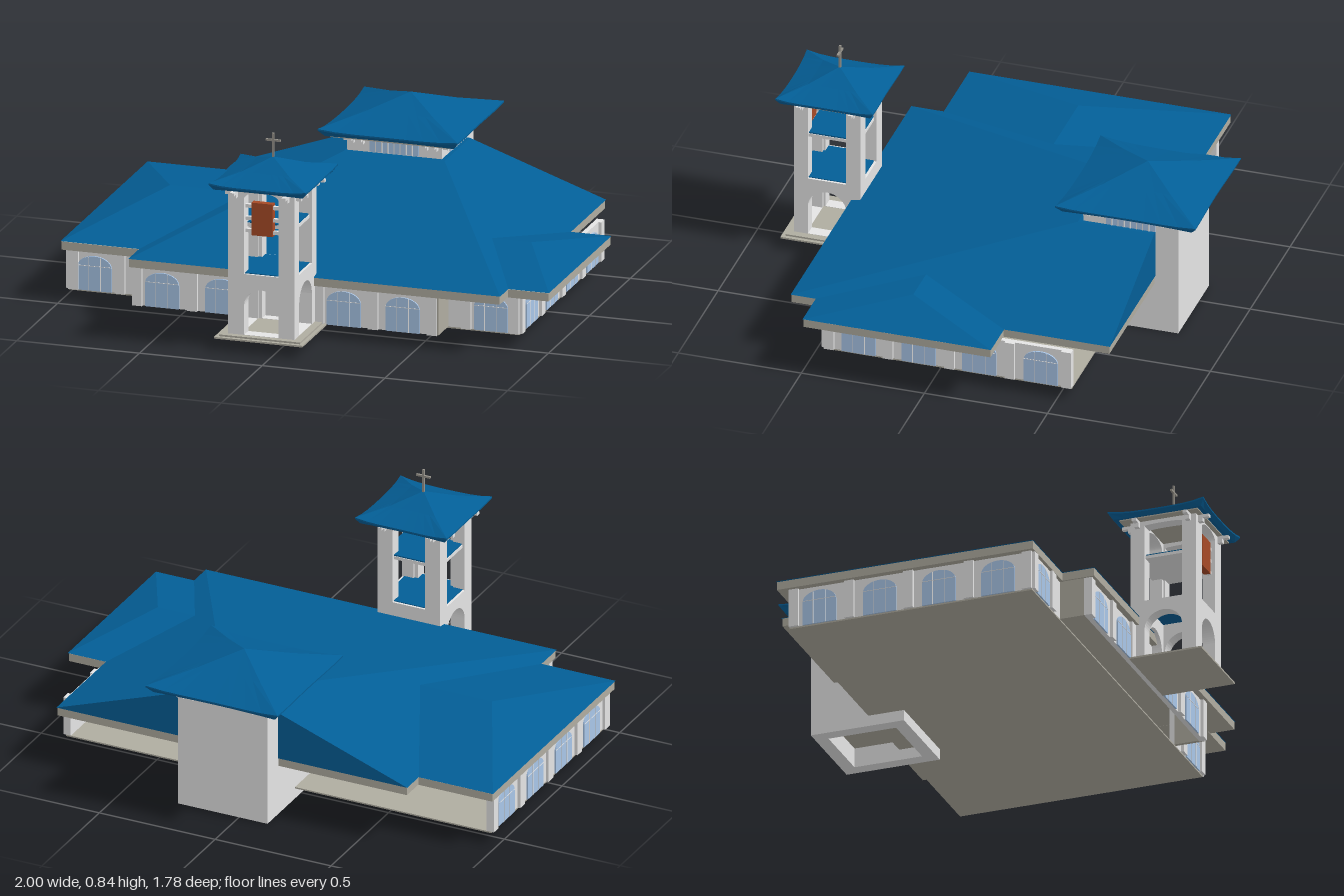
import * as THREE from 'three';

const mat = (name, color, side = THREE.FrontSide) => {
  const m = new THREE.MeshStandardMaterial({ color, side });
  m.name = name;
  return m;
};

export function createModel() {
  const model = new THREE.Group();
  const blue = mat('roof blue', 0x035e96, THREE.DoubleSide);
  const wall = mat('wall grey', 0xe4e4e4);
  const beige = mat('beige trim', 0xafaca0);
  const glass = mat('window blue', 0xa9c6e8);
  const rust = mat('bell rust', 0xa64a26);
  const metal = mat('cross grey', 0x96928a);

  const add = (name, geo, m, parent = model) => {
    const mesh = new THREE.Mesh(geo, m);
    mesh.name = name;
    parent.add(mesh);
    return mesh;
  };
  // Box given by its limits on each axis
  const box = (name, m, x0, x1, y0, y1, z0, z1, parent = model) => {
    const b = add(name, new THREE.BoxGeometry(x1 - x0, y1 - y0, z1 - z0), m, parent);
    b.position.set((x0 + x1) / 2, (y0 + y1) / 2, (z0 + z1) / 2);
    return b;
  };
  // Flat polygons, each split into a fan
  const polys = (name, m, faces) => {
    const p = [];
    for (const f of faces)
      for (let i = 1; i < f.length - 1; i++) p.push(...f[0], ...f[i], ...f[i + 1]);
    const g = new THREE.BufferGeometry();
    g.setAttribute('position', new THREE.Float32BufferAttribute(p, 3));
    g.computeVertexNormals();
    return add(name, g, m);
  };
  // Outline with straight sides and an arched top
  const arch = (C, w, y0, spring, top) => {
    const s = new C();
    s.moveTo(-w / 2, y0);
    s.lineTo(w / 2, y0);
    s.lineTo(w / 2, spring);
    s.absellipse(0, spring, w / 2, top - spring, 0, Math.PI, false);
    s.lineTo(-w / 2, y0);
    return s;
  };

  // Floor and thin outer walls, open along the back
  const Y0 = 0.05, Y1 = 0.21, T = 0.02, L = -0.97, W = 0.865, B = -0.555, F = 0.45, H = 0.57;
  box('floorSlab', beige, L, W, 0.044, Y0, B, F);
  box('leftWall', wall, L, L + T, Y0, Y1, B, F);
  box('rightWall', wall, W - T, W, Y0, Y1, B, F);
  box('leftFrontWall', wall, L + T, -0.66, Y0, Y1, F - T, F);
  box('rightFrontWall', wall, 0.56, W - T, Y0, Y1, F - T, F);
  box('hallFrontWall', wall, -0.67, 0.57, Y0, Y1, H - T, H);
  box('hallLeftWall', beige, -0.67, -0.66, Y0, Y1, F, H - T);
  box('hallRightWall', beige, 0.56, 0.57, Y0, Y1, F, H - T);
  box('recessPanel', beige, 0.57, 0.575, Y0, Y1, F, H);

  // Arched windows and pilasters along a wall
  const windowGeo = new THREE.ExtrudeGeometry(arch(THREE.Shape, 0.138, Y0, 0.145, 0.19),
    { depth: 0.006, bevelEnabled: false, curveSegments: 10 });
  const facade = (name, x, z, turn, windows, pilasters) => {
    const g = new THREE.Group();
    g.name = name;
    g.position.set(x, 0, z);
    g.rotation.y = turn;
    model.add(g);
    for (const u of windows) {
      add('window', windowGeo, glass, g).position.x = u;
      for (const d of [-0.025, 0.025])
        box('mullion', wall, u + d - 0.001, u + d + 0.001, Y0, 0.185, 0, 0.0075, g);
      box('transom', wall, u - 0.068, u + 0.068, 0.149, 0.151, 0, 0.0075, g);
    }
    for (const u of pilasters) box('pilaster', wall, u - 0.02, u + 0.02, Y0, Y1, 0, 0.012, g);
  };
  facade('frontFacade', 0, H, 0, [-0.55, -0.305, 0.19, 0.43], [-0.65, -0.425, -0.215, 0.09, 0.31, 0.55]);
  facade('leftmostFrontFacade', 0, F, 0, [-0.865], [-0.95, -0.76]);
  facade('rightmostFrontFacade', 0, F, 0, [0.75], [0.65, 0.845]);
  facade('rightFacade', W, 0, Math.PI / 2, [-0.31, -0.065, 0.18, 0.43], [-0.43, -0.19, 0.06, 0.305, 0.535]);
  facade('leftFacade', L, 0, -Math.PI / 2, [-0.43, -0.18, 0.065, 0.31], [-0.535, -0.305, -0.06, 0.19, 0.43]);

  // Eave boards under the three roofs
  const E = 0.242;
  box('mainEaves', beige, -0.677, 0.832, 0.208, E - 0.001, -0.697, 0.594);
  box('leftEaves', beige, -0.997, -0.6, 0.207, E - 0.002, -0.597, 0.463);
  box('rightEaves', beige, 0.7, 0.997, 0.207, E - 0.002, -0.267, 0.493);

  // Main hipped roof with a straight back gable
  const R = 0.437;
  const a = [-0.68, E, 0.597], b = [0.835, E, 0.597], c = [0.835, E, -0.7], d = [-0.68, E, -0.7];
  const e = [-0.13, R, -0.39], f = [0.28, R, -0.39], g = [0.28, R, -0.7], h = [-0.13, R, -0.7];
  polys('mainRoof', blue, [[a, b, f, e], [d, a, e, h], [b, c, g, f], [e, f, g, h], [c, d, h, g]]);

  // Side wing roofs: outer edge, inner edge, ridge ends
  const wingRoof = (name, xo, xi, z0, z1, zr, r0, r1, y) => {
    const A = [xo, E, z0], B = [xo, E, z1], C = [xi, E, z1], D = [xi, E, z0];
    const P = [r0, y, zr], Q = [r1, y, zr];
    const faces = [[A, B, P], [B, C, Q, P], [D, A, P, Q]];
    polys(name, blue, xo < 0 ? faces : faces.map(q => q.reverse()));
  };
  wingRoof('leftWingRoof', -1, -0.68, -0.6, 0.465, -0.065, -0.73, -0.42, 0.336);
  wingRoof('rightWingRoof', 1, 0.835, -0.27, 0.495, 0.11, 0.8, 0.64, 0.312);

  // Square roof with sagging eaves and lifted corners; rows are [half width, y, lift]
  const pagodaRoof = (name, x, z, rows) => {
    const N = 8, faces = [];
    const pt = ([w, y, lift = 0], k, i) => {
      const u = -1 + 2 * i / N, out = w * (1 - 0.035 * (1 - u * u));
      const p = new THREE.Vector3(u * w, y + lift * u ** 4, out);
      p.applyAxisAngle(new THREE.Vector3(0, 1, 0), k * Math.PI / 2);
      return [p.x + x, p.y, p.z + z];
    };
    for (let r = 0; r < rows.length - 1; r++)
      for (let k = 0; k < 4; k++)
        for (let i = 0; i < N; i++)
          faces.push(r === 0
            ? [pt(rows[0], k, i), pt(rows[1], k, i), pt(rows[1], k, i + 1)]
            : [pt(rows[r], k, i), pt(rows[r + 1], k, i), pt(rows[r + 1], k, i + 1), pt(rows[r], k, i + 1)]);
    polys(name, blue, faces);
  };
  // Small brackets below the eaves on all four sides
  const brackets = (x, z, half, y, offsets) => {
    for (let k = 0; k < 4; k++) {
      const grp = new THREE.Group();
      grp.name = 'eaveBrackets';
      grp.position.set(x, 0, z);
      grp.rotation.y = k * Math.PI / 2;
      model.add(grp);
      for (const u of offsets) {
        box('bracket', wall, u - 0.009, u + 0.009, y - 0.012, y, half, half + 0.045, grp);
        box('bracketFoot', wall, u - 0.009, u + 0.009, y - 0.028, y - 0.012, half, half + 0.02, grp);
      }
    }
  };

  // Rear tower: hollow shaft, clerestory windows, roof
  const tx = 0.07, tz = -0.6, th = 0.193;
  const square = (C, s) => new C([[-s, -s], [s, -s], [s, s], [-s, s]].map(p => new THREE.Vector2(...p)));
  const ring = square(THREE.Shape, th);
  ring.holes.push(square(THREE.Path, 0.14));
  const shaft = add('rearTowerShaft', new THREE.ExtrudeGeometry(ring, { depth: 0.5, bevelEnabled: false }), wall);
  shaft.rotation.x = -Math.PI / 2;
  shaft.position.set(tx, 0, tz);
  box('rearTowerFloor', beige, tx - 0.141, tx + 0.141, 0.08, 0.09, tz - 0.141, tz + 0.141);
  for (const k of [0, 1, 3]) {
    const grp = new THREE.Group();
    grp.name = 'clerestory';
    grp.position.set(tx, 0, tz);
    grp.rotation.y = k * Math.PI / 2;
    model.add(grp);
    box('clerestoryGlass', glass, -0.1, 0.1, 0.44, 0.497, th, th + 0.005, grp);
    for (let i = 1; i < 8; i++)
      box('clerestoryBar', wall, -0.102 + i * 0.025, -0.098 + i * 0.025, 0.44, 0.497, th, th + 0.008, grp);
  }
  box('rearTowerSoffit', beige, tx - 0.245, tx + 0.245, 0.499, 0.504, tz - 0.245, tz + 0.245);
  brackets(tx, tz, th, 0.499, [-0.17, -0.13, 0.13, 0.17]);
  pagodaRoof('rearTowerRoof', tx, -0.607,
    [[0, 0.632], [0.14, 0.58], [0.285, 0.526, 0.011], [0.285, 0.52, 0.011], [0.262, 0.504], [0.19, 0.502]]);

  // Bell tower: stepped base and four pierced walls
  const bx = -0.06, bz = 0.695, bh = 0.135;
  box('bellTowerBase', beige, bx - 0.18, bx + 0.18, 0.046, 0.053, H + 0.001, 0.87);
  box('bellTowerStep', beige, bx - 0.165, bx + 0.165, 0.053, 0.06, H + 0.001, 0.855);
  for (let k = 0; k < 4; k++) {
    const w = k % 2 ? 0.155 : 0.14;
    const s = new THREE.Shape();
    s.moveTo(-bh, 0.06);
    s.lineTo(bh, 0.06);
    s.lineTo(bh, 0.65);
    s.lineTo(-bh, 0.65);
    s.holes.push(arch(THREE.Path, w, 0.061, k % 2 ? 0.185 : 0.18, k % 2 ? 0.258 : 0.247));
    s.holes.push(k % 2 ? arch(THREE.Path, w, 0.307, 0.625, 0.63) : arch(THREE.Path, w, 0.307, 0.615, 0.642));
    const geo = new THREE.ExtrudeGeometry(s, { depth: 0.05, bevelEnabled: false, curveSegments: 12 });
    geo.translate(0, 0, bh - 0.05);
    const m = add('bellTowerWall', geo, wall);
    m.position.set(bx, 0, bz);
    m.rotation.y = k * Math.PI / 2;
  }
  // Decks inside the bell tower, the upper one on a pale beam frame
  box('lowerDeck', blue, bx - 0.125, bx + 0.125, 0.3, 0.31, bz - 0.125, bz + 0.125);
  box('upperDeckBeam', wall, bx - 0.125, bx + 0.125, 0.49, 0.503, bz - 0.125, bz + 0.095);
  box('upperDeck', blue, bx - 0.122, bx + 0.122, 0.503, 0.508, bz - 0.122, bz + 0.092);
  // Rust panel held by side clips
  box('bellPanel', rust, -0.103, -0.017, 0.465, 0.597, 0.795, 0.822);
  for (const y of [0.48, 0.53, 0.58])
    box('bellPanelClip', wall, -0.132, 0.012, y - 0.007, y + 0.007, 0.8, 0.815);
  box('bellTowerSoffit', beige, bx - 0.17, bx + 0.17, 0.645, 0.65, bz - 0.17, bz + 0.155);
  brackets(bx, bz, bh, 0.645, [-0.105, 0.105]);
  pagodaRoof('bellTowerRoof', bx, 0.687,
    [[0, 0.748], [0.1, 0.705], [0.198, 0.668, 0.011], [0.198, 0.662, 0.011], [0.182, 0.65], [0.13, 0.648]]);

  // Cross on the bell tower
  box('crossPost', metal, bx - 0.004, bx + 0.004, 0.735, 0.843, 0.682, 0.69);
  box('crossBar', metal, bx - 0.03, bx + 0.03, 0.81, 0.818, 0.682, 0.69);

  return model;
}
